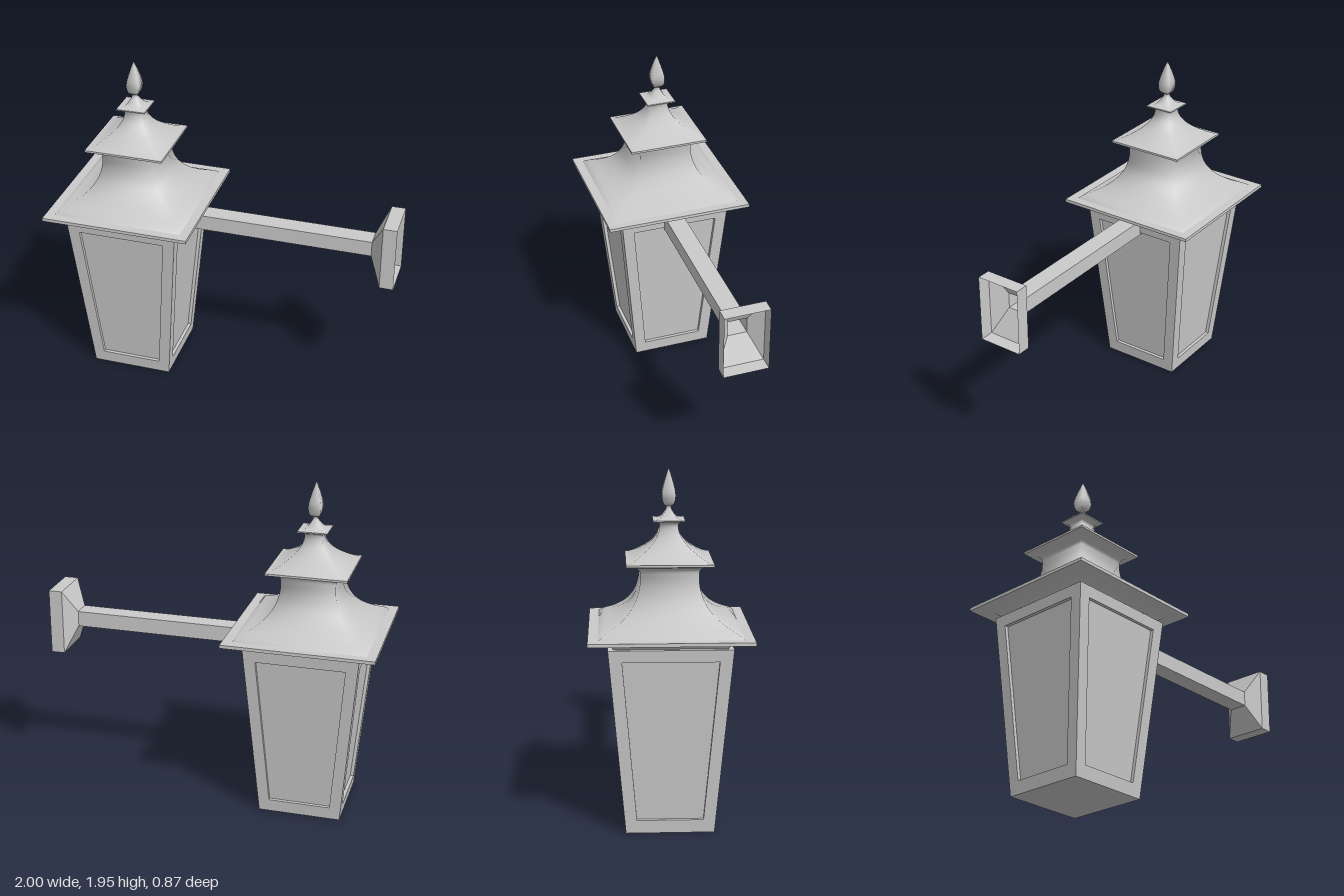
import * as THREE from 'three';

const grey = new THREE.MeshStandardMaterial({ color: 0xcccccc });
const thin = new THREE.MeshStandardMaterial({ color: 0xcccccc, side: THREE.DoubleSide });

// Joins four-cornered loops into a skin; caps close the first / last loop.
function loft(loops, { smooth = false, capStart = false, capEnd = false } = {}) {
  const index = [];
  for (let r = 0; r < loops.length - 1; r++) {
    for (let i = 0; i < 4; i++) {
      const j = (i + 1) % 4, a = r * 4, b = a + 4;
      index.push(a + i, a + j, b + j, a + i, b + j, b + i);
    }
  }
  const e = (loops.length - 1) * 4;
  if (capStart) index.push(0, 2, 1, 0, 3, 2);
  if (capEnd) index.push(e, e + 1, e + 2, e, e + 2, e + 3);
  let geo = new THREE.BufferGeometry();
  geo.setAttribute('position', new THREE.Float32BufferAttribute(loops.flat(2), 3));
  geo.setIndex(index);
  if (!smooth) geo = geo.toNonIndexed();
  geo.computeVertexNormals();
  return geo;
}

// Horizontal square of half-width h at height y
const square = (h, y) => [[h, y, h], [h, y, -h], [-h, y, -h], [-h, y, h]];

// Rectangle across the x axis
const section = (x, y, z, hy, hz) =>
  [[x, y - hy, z + hz], [x, y - hy, z - hz], [x, y + hy, z - hz], [x, y + hy, z + hz]];

function add(parent, name, geometry, material = grey) {
  const mesh = new THREE.Mesh(geometry, material);
  mesh.name = name;
  parent.add(mesh);
  return mesh;
}

// Square-plan surface following a smooth [half-width, height] profile
function addSweep(parent, name, profile, caps = {}) {
  const curve = new THREE.CatmullRomCurve3(
    profile.map(([h, y]) => new THREE.Vector3(h, y, 0)), false, 'centripetal');
  const loops = curve.getPoints(profile.length * 5).map(p => square(p.x, p.y));
  return add(parent, name, loft(loops, { smooth: true, ...caps }));
}

export function createModel() {
  const model = new THREE.Group();
  model.name = 'wallLantern';
  const lantern = new THREE.Group();
  lantern.name = 'lantern';
  lantern.position.x = -0.567;
  model.add(lantern);

  // Tapered body: four framed sides with recessed panes
  const H = 1.043, B = 0.24, T = 0.33;
  const wall = y => B + (T - B) * y / H;
  const rect = (y0, h0, y1, h1, depth) => [
    [-h0, y0, wall(y0) - depth], [h0, y0, wall(y0) - depth],
    [h1, y1, wall(y1) - depth], [-h1, y1, wall(y1) - depth]];
  const side = loft([
    rect(0, B, H, T, 0),
    rect(0.075, 0.18, 0.977, 0.256, 0),
    rect(0.075, 0.18, 0.977, 0.256, 0.02)], { capEnd: true });
  for (let i = 0; i < 4; i++) {
    add(lantern, 'framedSide', side).rotation.y = i * Math.PI / 2;
  }
  const plate = (h, y0, y1) =>
    loft([square(h, y0), square(h, y1)], { capStart: true, capEnd: true });
  add(lantern, 'bodyBottom', plate(B, 0, 0.002));
  add(lantern, 'bodyTop', plate(T, H - 0.002, H));

  // Lower roof tier
  addSweep(lantern, 'eaveCove', [[0.3, 1.04], [0.313, 1.06], [0.34, 1.076], [0.39, 1.088]]);
  add(lantern, 'lowerEave', plate(0.433, 1.087, 1.106));
  addSweep(lantern, 'lowerRoof', [
    [0.38, 1.106], [0.36, 1.122], [0.29, 1.158], [0.225, 1.208], [0.182, 1.27],
    [0.16, 1.34], [0.156, 1.4], [0.16, 1.432], [0.18, 1.448], [0.22, 1.462]]);

  // Middle roof tier
  add(lantern, 'middleEave', plate(0.231, 1.461, 1.473));
  addSweep(lantern, 'middleRoof', [
    [0.22, 1.473], [0.19, 1.486], [0.143, 1.515], [0.094, 1.555], [0.06, 1.605],
    [0.049, 1.648], [0.053, 1.664], [0.075, 1.678]]);

  // Cap and finial
  add(lantern, 'capEave', plate(0.085, 1.677, 1.684));
  addSweep(lantern, 'capRoof', [
    [0.07, 1.684], [0.045, 1.694], [0.028, 1.715], [0.014, 1.74], [0.012, 1.756]]);
  addSweep(lantern, 'finial', [
    [0.012, 1.752], [0.027, 1.765], [0.036, 1.8], [0.035, 1.83], [0.025, 1.875],
    [0.012, 1.92], [0.003, 1.948]], { capStart: true, capEnd: true });

  // Arm and hollow wall mount
  const start = section(-0.27, 1.01, 0.012, 0.046, 0.055);
  const end = section(0.85, 1.01, 0.012, 0.046, 0.055);
  add(model, 'arm', loft([start, end]), thin);
  add(model, 'wallMount', loft([
    end,
    section(0.92, 1.005, 0.013, 0.195, 0.13),
    section(1, 1.005, 0.013, 0.195, 0.13)]), thin);

  return model;
}
